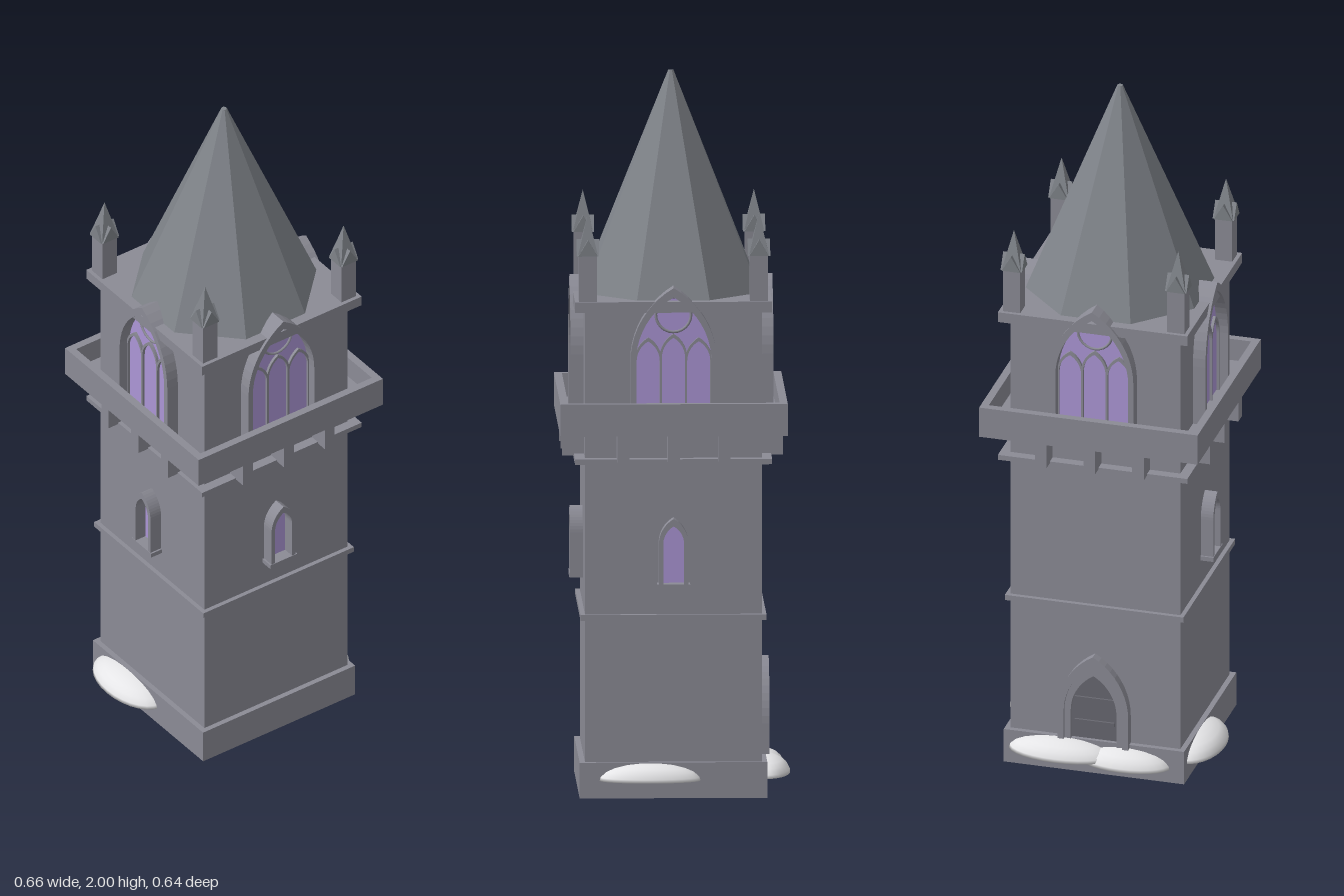
import * as THREE from 'three';

const mat = (name, color, side = THREE.FrontSide) => {
  const m = new THREE.MeshStandardMaterial({ color, side });
  m.name = name;
  return m;
};

export function createModel() {
  const stone = mat('stone', 0x8b8b95);
  const slate = mat('slate', 0x7f8389);
  const glass = mat('violet glass', 0xac96d6, THREE.DoubleSide);
  const wood = mat('door wood', 0x686870);
  const snow = mat('snow', 0xe6e6e8);

  const model = new THREE.Group();
  model.name = 'tower';
  model.position.set(0.003, 0, 0.005);

  const add = (parent, name, geo, material, x = 0, y = 0, z = 0) => {
    const m = new THREE.Mesh(geo, material);
    m.name = name;
    m.position.set(x, y, z);
    parent.add(m);
    return m;
  };
  const box = (parent, name, material, w, y0, y1, d, x = 0, z = 0) =>
    add(parent, name, new THREE.BoxGeometry(w, y1 - y0, d), material, x, (y0 + y1) / 2, z);

  // Equilateral pointed arch outline, standing on y0 and springing at ys
  const archPoints = (h, y0, ys, x = 0) => {
    const pts = [new THREE.Vector2(x - h, y0), new THREE.Vector2(x + h, y0)];
    const n = 10;
    for (let i = 0; i <= n; i++) {
      const a = (i / n) * Math.PI / 3;
      pts.push(new THREE.Vector2(x - h + 2 * h * Math.cos(a), ys + 2 * h * Math.sin(a)));
    }
    for (let i = n - 1; i >= 0; i--) {
      const a = (i / n) * Math.PI / 3;
      pts.push(new THREE.Vector2(x + h - 2 * h * Math.cos(a), ys + 2 * h * Math.sin(a)));
    }
    return pts;
  };
  // Arched surround, open at the foot
  const archFrame = (parent, name, hOut, hIn, y0, ys, z0, z1, material = stone) => {
    const outer = archPoints(hOut, y0, ys).slice(1);
    const inner = archPoints(hIn, y0, ys).slice(1);
    const foot = (h) => new THREE.Vector2(-h, y0);
    const shape = new THREE.Shape([...outer, foot(hOut), foot(hIn), ...inner.reverse()]);
    const geo = new THREE.ExtrudeGeometry(shape, { depth: z1 - z0, bevelEnabled: false });
    return add(parent, name, geo, material, 0, 0, z0);
  };
  const archPanel = (parent, name, h, y0, ys, z, material) =>
    add(parent, name, new THREE.ShapeGeometry(new THREE.Shape(archPoints(h, y0, ys))), material, 0, 0, z);

  // Shaft, plinth and string courses
  box(model, 'plinth', stone, 0.52, 0, 0.1, 0.52);
  box(model, 'shaft', stone, 0.49, 0.1, 1.03, 0.49);
  box(model, 'middleStringCourse', stone, 0.515, 0.497, 0.513, 0.515);
  box(model, 'upperStringCourse', stone, 0.546, 0.935, 0.95, 0.546);

  // Balcony floor
  box(model, 'balconyFloor', stone, 0.6, 1.02, 1.045, 0.6);

  // Belfry and cornice
  box(model, 'belfry', stone, 0.49, 1.03, 1.37, 0.49);
  box(model, 'cornice', stone, 0.546, 1.36, 1.39, 0.546);

  // Repeated on all four sides
  for (let s = 0; s < 4; s++) {
    const side = new THREE.Group();
    side.name = ['front', 'left', 'back', 'right'][s] + 'Side';
    side.rotation.y = s * Math.PI / 2;
    model.add(side);

    box(side, 'parapet', stone, 0.586, 1.02, 1.11, 0.022, 0, 0.304);
    box(side, 'parapetCorner', stone, 0.022, 1.02, 1.11, 0.022, 0.304, 0.304);
    for (const x of [-0.14, 0, 0.14]) box(side, 'corbel', stone, 0.034, 0.945, 1.022, 0.075, x, 0.268);

    // Belfry window with three lancets and a round light
    const win = new THREE.Group();
    win.name = 'belfryWindow';
    side.add(win);
    archFrame(win, 'belfryWindowFrame', 0.12, 0.105, 1.045, 1.222, 0.2, 0.281);
    archPanel(win, 'belfryGlass', 0.105, 1.045, 1.222, 0.248, glass);
    [-0.07, 0, 0.07].forEach((x) => {
      const f = archFrame(win, 'lancetTracery', 0.038, 0.032, 1.045, x ? 1.222 : 1.232, 0.247, 0.256);
      f.position.x = x;
    });
    add(win, 'roundTracery', new THREE.TorusGeometry(0.049, 0.004, 6, 24), stone, 0, 1.352, 0.25);

    // Lower window on every side but the back
    if (s !== 2) {
      archFrame(side, 'lowerWindowFrame', 0.041, 0.029, 0.6, 0.713, 0.24, 0.281);
      archPanel(side, 'lowerGlass', 0.029, 0.6, 0.713, 0.248, glass);
      box(side, 'lowerSill', stone, 0.092, 0.588, 0.601, 0.045, 0, 0.26);
    } else {
      // Door
      archFrame(side, 'doorOuterFrame', 0.102, 0.084, 0.05, 0.185, 0.24, 0.271);
      archFrame(side, 'doorInnerFrame', 0.084, 0.066, 0.05, 0.185, 0.24, 0.263);
      archPanel(side, 'doorLeaf', 0.067, 0.05, 0.185, 0.249, wood);
      for (const y of [0.145, 0.215]) box(side, 'doorStrap', wood, 0.115, y, y + 0.012, 0.008, 0, 0.251);
      box(side, 'doorStep', stone, 0.2, 0.03, 0.055, 0.05, 0, 0.265);
    }

    // Corner pinnacle
    const pin = new THREE.Group();
    pin.name = 'pinnacle';
    pin.position.set(0.237, 0, 0.237);
    side.add(pin);
    box(pin, 'pinnaclePost', stone, 0.05, 1.385, 1.53, 0.05);
    const spike = new THREE.CylinderGeometry(0, 0.027 * Math.SQRT2, 0.11, 4, 1).toNonIndexed();
    spike.computeVertexNormals();
    add(pin, 'pinnacleSpike', spike, slate, 0, 1.577, 0).rotation.y = Math.PI / 4;
    const gable = new THREE.Shape([[-0.027, 1.517], [0.027, 1.517], [0, 1.562]].map((p) => new THREE.Vector2(...p)));
    for (const turn of [0, Math.PI / 2]) {
      const geo = new THREE.ExtrudeGeometry(gable, { depth: 0.062, bevelEnabled: false });
      geo.translate(0, 0, -0.031);
      add(pin, 'pinnacleGable', geo, slate).rotation.y = turn;
    }
  }

  // Eight-sided spire
  const spire = new THREE.CylinderGeometry(0.008, 0.263, 0.61, 8, 1).toNonIndexed();
  spire.computeVertexNormals();
  add(model, 'spire', spire, slate, 0, 1.695, 0).rotation.y = Math.PI / 8;

  // Snow drifts against the plinth: x, y, z, half sizes
  const dome = [[0, 0], [1, 0], [0.98, 0.2], [0.87, 0.5], [0.7, 0.72], [0.45, 0.9], [0.2, 0.98], [0, 1]];
  const drifts = [
    [0.262, 0.05, 0.065, 0.062, 0.048, 0.14],
    [-0.25, 0.05, -0.095, 0.082, 0.05, 0.14],
    [0.095, 0.05, -0.255, 0.15, 0.05, 0.073],
    [-0.09, 0.04, -0.25, 0.13, 0.05, 0.068],
  ];
  for (const [x, y, z, a, b, c] of drifts) {
    const geo = new THREE.LatheGeometry(dome.map((p) => new THREE.Vector2(...p)), 28);
    add(model, 'snowDrift', geo, snow, x, y, z).scale.set(a, b, c);
  }

  return model;
}
